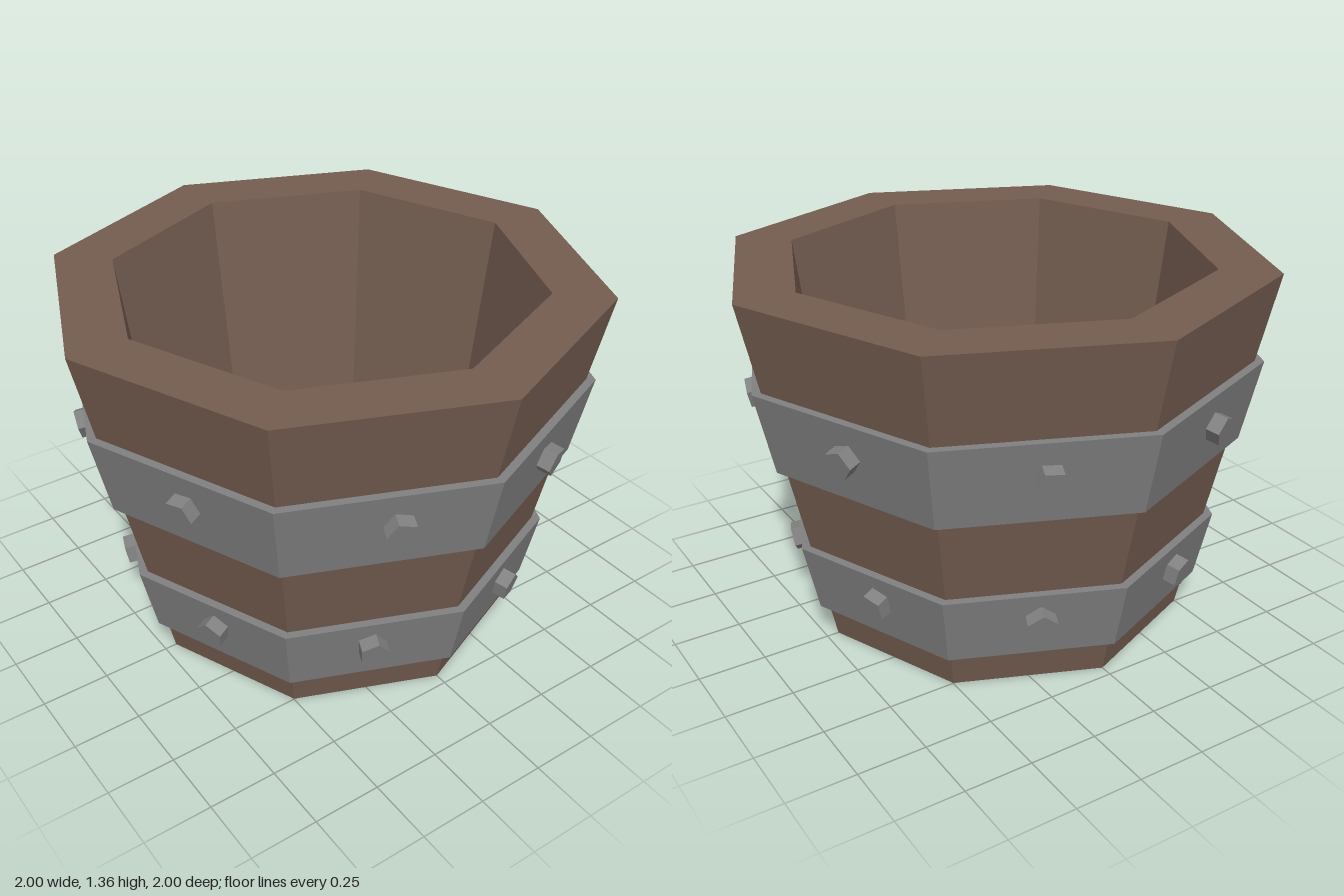
import * as THREE from 'three';

const SIDES = 8;
const HEIGHT = 1.355;
const BOTTOM_R = 0.705;
const SLOPE = (1 - BOTTOM_R) / HEIGHT;
const BAND_OFFSET = 0.033;
const APOTHEM = Math.cos(Math.PI / SIDES);

const wallRadius = (y) => BOTTOM_R + SLOPE * y;

// Eight-sided solid turned from [radius, height] points
function octagonal(name, points, material) {
  const profile = points.map(([r, y]) => new THREE.Vector2(r, y));
  const mesh = new THREE.Mesh(new THREE.LatheGeometry(profile, SIDES), material);
  mesh.name = name;
  return mesh;
}

// Metal hoop hugging the tapered wall
function hoop(name, y0, y1, material) {
  const inner = (y) => [wallRadius(y) - 0.01, y];
  const outer = (y) => [wallRadius(y) + BAND_OFFSET, y];
  return octagonal(name, [inner(y0), outer(y0), outer(y1), inner(y1)], material);
}

// One five-sided rivet per face, each slightly off centre and turned
function rivets(name, y, shifts, material) {
  const group = new THREE.Group();
  group.name = name;
  const geometry = new THREE.CylinderGeometry(0.055, 0.055, 0.08, 5);
  const tilt = Math.atan(SLOPE * APOTHEM);
  const up = new THREE.Vector3(0, 1, 0);
  shifts.forEach((shift, i) => {
    const a = ((i + 0.5) / SIDES) * Math.PI * 2;
    const r = (wallRadius(y) + BAND_OFFSET) * APOTHEM + 0.01;
    const normal = new THREE.Vector3(
      Math.cos(a) * Math.cos(tilt), -Math.sin(tilt), Math.sin(a) * Math.cos(tilt));
    const rivet = new THREE.Mesh(geometry, material);
    rivet.name = 'rivet';
    rivet.position.set(
      r * Math.cos(a) - shift * Math.sin(a), y, r * Math.sin(a) + shift * Math.cos(a));
    rivet.quaternion.setFromUnitVectors(up, normal);
    rivet.rotateY(i * 2.1 + y);
    group.add(rivet);
  });
  return group;
}

export function createModel() {
  const wood = new THREE.MeshStandardMaterial({ color: 0x745d50, flatShading: true });
  const metal = new THREE.MeshStandardMaterial({ color: 0x808080, flatShading: true });
  const bucket = new THREE.Group();
  bucket.name = 'bucket';

  // Underside, outer wall, rim, inner wall and floor
  bucket.add(octagonal('body', [
    [0, 0], [BOTTOM_R, 0], [1, HEIGHT], [0.78, HEIGHT], [0.62, 0.15], [0, 0.15],
  ], wood));

  bucket.add(
    hoop('lowerHoop', 0.14, 0.4, metal),
    hoop('upperHoop', 0.725, 1.03, metal),
    rivets('lowerRivets', 0.295, [0.01, -0.01, -0.02, -0.04, -0.02, -0.02, -0.02, -0.02], metal),
    rivets('upperRivets', 0.9, [-0.04, -0.01, -0.03, -0.04, -0.02, -0.02, -0.02, -0.01], metal),
  );
  return bucket;
}
